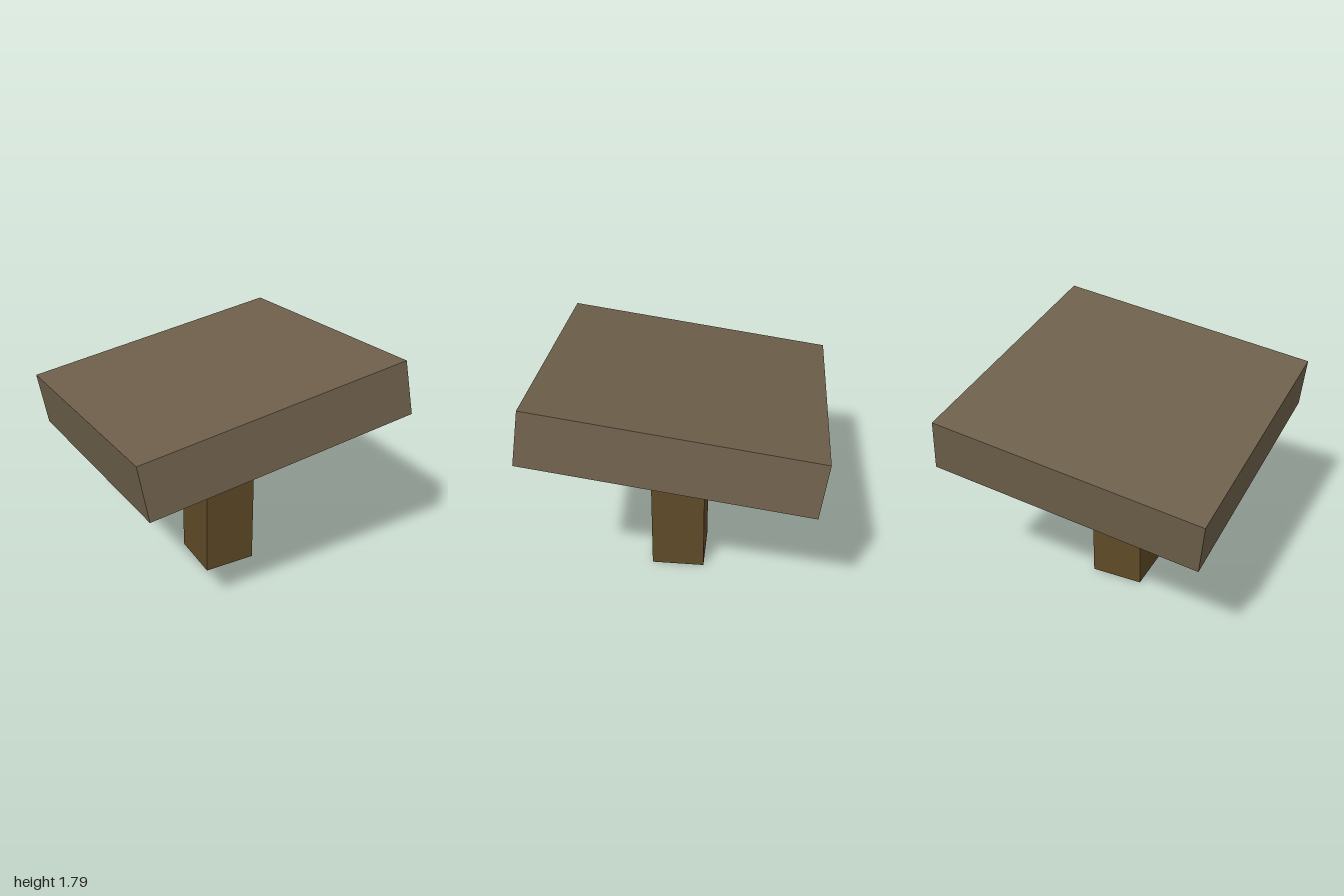
import * as THREE from 'three';

export function createModel() {
  const group = new THREE.Group();
  const material = (name, color) => {
    const m = new THREE.MeshStandardMaterial({ color });
    m.name = name;
    return m;
  };
  const slabBrown = material('slabBrown', 0x6e604b);
  const postBrown = material('postBrown', 0x5e4a27);
  const undersideGrey = material('undersideGrey', 0xa2a2a2);

  const unit = 0.387; // post is 1 x 3 x 1 units, slab is 5 x 1 x 5
  const tilt = THREE.MathUtils.degToRad(7.5);

  // Upright square post, slightly off centre
  const post = new THREE.Mesh(new THREE.BoxGeometry(unit, 3 * unit, unit), postBrown);
  post.name = 'post';
  post.position.set(0.023, 1.5 * unit, 0.027);
  group.add(post);

  // Thick square slab, raised at its left and front, with a grey underside
  const slab = new THREE.Mesh(
    new THREE.BoxGeometry(5 * unit, unit, 5 * unit),
    [slabBrown, slabBrown, slabBrown, undersideGrey, slabBrown, slabBrown]
  );
  slab.name = 'slab';
  slab.position.set(0, 1.35, 0);
  slab.rotation.set(-tilt, 0, tilt, 'ZXY');
  group.add(slab);

  return group;
}
